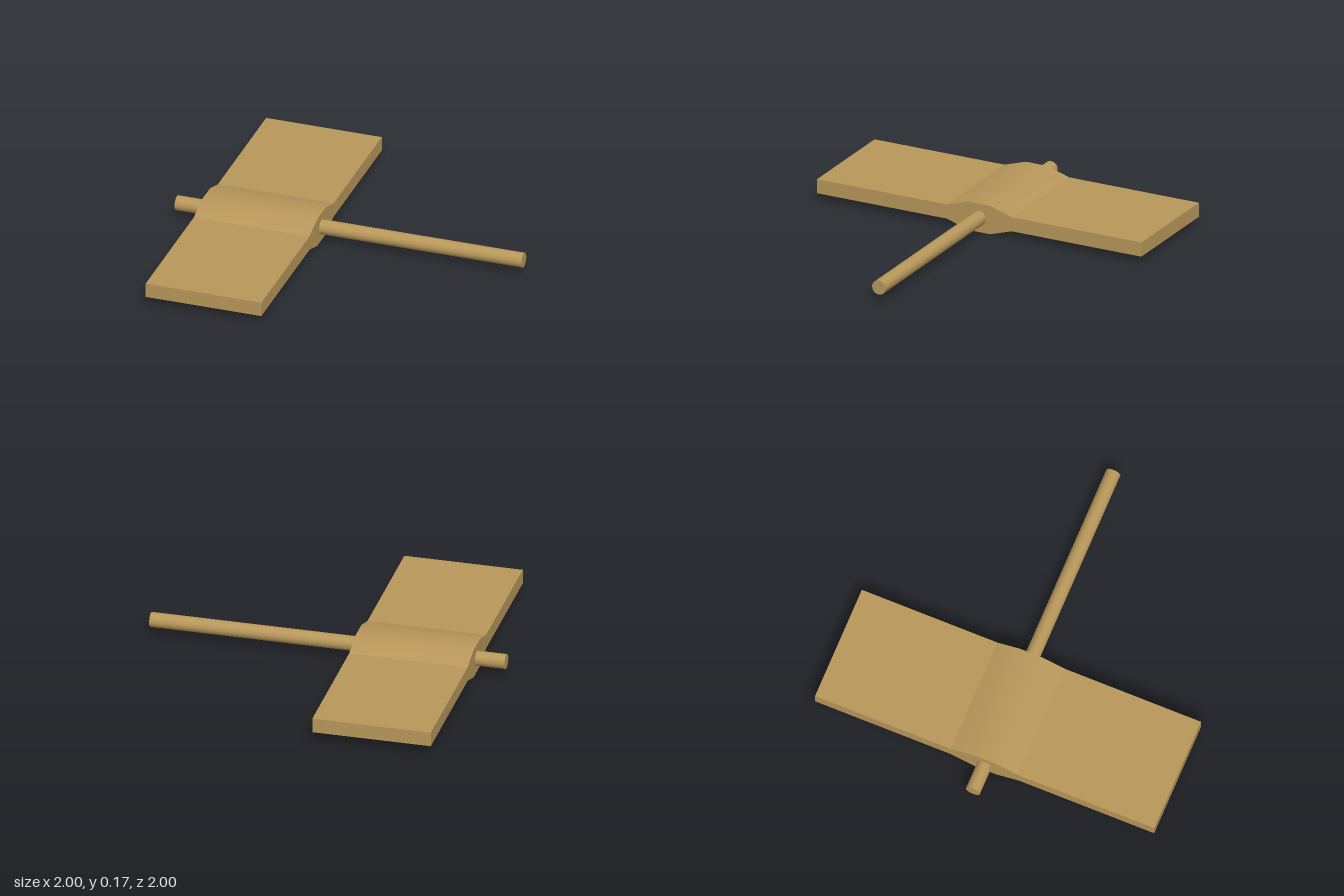
import * as THREE from 'three';
import { toCreasedNormals } from 'three/addons/utils/BufferGeometryUtils.js';

export function createModel() {
  const model = new THREE.Group();
  model.name = 'paddleOnShaft';
  const wood = new THREE.MeshStandardMaterial({ color: 0xb8975a });
  wood.name = 'wood';

  const midY = 0.0835, halfThick = 0.0415, hubHalf = 0.0835;
  const width = 0.667, centreX = -0.5;
  const hubEnd = 0.2, hubFlat = 0.067;

  const add = (name, geometry, x, y, z) => {
    const mesh = new THREE.Mesh(geometry, wood);
    mesh.name = name;
    mesh.position.set(x, y, z);
    model.add(mesh);
  };

  // Two flat blades, front and back
  for (const side of [1, -1]) {
    const length = 1 - hubEnd;
    add(side > 0 ? 'frontBlade' : 'backBlade',
      new THREE.BoxGeometry(width, halfThick * 2, length),
      centreX, midY, side * (hubEnd + length / 2));
  }

  // Thickened hub, softly shaded over its shallow bends
  const profile = new THREE.Shape([
    [-hubEnd, -halfThick], [-hubFlat, -hubHalf], [hubFlat, -hubHalf], [hubEnd, -halfThick],
    [hubEnd, halfThick], [hubFlat, hubHalf], [-hubFlat, hubHalf], [-hubEnd, halfThick],
  ].map(([z, y]) => new THREE.Vector2(z, y)));
  const hub = new THREE.ExtrudeGeometry(profile, { depth: width, bevelEnabled: false });
  hub.translate(0, 0, -width / 2).rotateY(Math.PI / 2);
  add('hub', toCreasedNormals(hub, Math.PI / 6), centreX, midY, 0);

  // Round shaft running through the hub
  const shaft = new THREE.CylinderGeometry(0.0415, 0.0415, 2, 32).rotateZ(Math.PI / 2);
  add('shaft', shaft, 0, midY, 0);

  return model;
}
